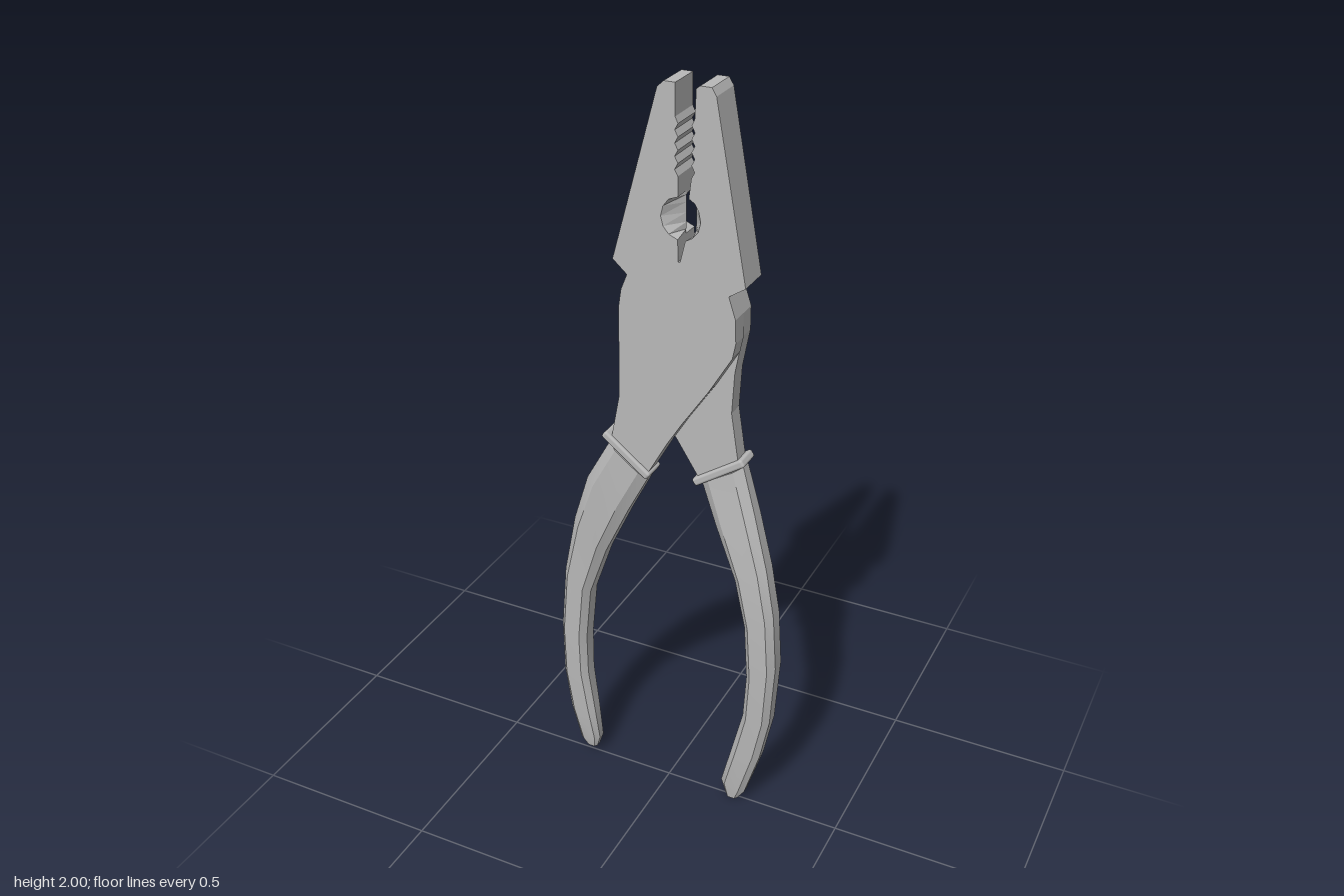
import * as THREE from 'three';
import { toCreasedNormals } from 'three/addons/utils/BufferGeometryUtils.js';
import { RoundedBoxGeometry } from 'three/addons/geometries/RoundedBoxGeometry.js';

const HALF = 0.045; // half thickness of the steel head

// Flat prism from an outline, between z0 and z1
function prism(points, z0, z1, steps = 1) {
  const shape = new THREE.Shape(points.map(([x, y]) => new THREE.Vector2(x, y)));
  const geo = new THREE.ExtrudeGeometry(shape, { depth: z1 - z0, steps, bevelEnabled: false });
  return geo.translate(0, 0, z0);
}

// Jaw with a pipe-grip recess that narrows to a ridge at mid thickness
function jawGeometry(points, ridgeX) {
  const geo = prism(points, -HALF, HALF, 2);
  const p = geo.attributes.position;
  for (let i = 0; i < p.count; i++) {
    const d = Math.hypot(p.getX(i) - 0.05, p.getY(i) - 1.69);
    if (Math.abs(p.getZ(i)) < 0.001 && d < 0.058) p.setX(i, ridgeX);
  }
  geo.computeVertexNormals();
  return geo;
}

// Zigzag gripping teeth from the recess up towards the tip
function teeth(x, depth) {
  const pts = [];
  for (let i = 0; i <= 8; i++) pts.push([x + (i % 2 ? depth : 0), 1.79 + i * 0.015]);
  return pts;
}

// Handle loft: rows of [left x, left y, right x, right y, z centre, half depth], top to bottom
function handleGeometry(rows) {
  const section = [[1, 0.5], [0.6, 1], [-0.6, 1], [-1, 0.5], [-1, -0.5], [-0.6, -1], [0.6, -1], [1, -0.5]];
  const n = section.length, pos = [], index = [];
  for (const [lx, ly, rx, ry, zc, hz] of rows) {
    for (const [u, v] of section) {
      pos.push((lx + rx + u * (rx - lx)) / 2, (ly + ry + u * (ry - ly)) / 2, zc + v * hz);
    }
  }
  for (let i = 0; i < rows.length - 1; i++) {
    for (let j = 0; j < n; j++) {
      const a = i * n + j, b = i * n + (j + 1) % n;
      index.push(a, b, a + n, b, b + n, a + n);
    }
  }
  const last = (rows.length - 1) * n;
  for (let j = 1; j < n - 1; j++) {
    index.push(0, j + 1, j, last, last + j, last + j + 1);
  }
  const geo = new THREE.BufferGeometry();
  geo.setAttribute('position', new THREE.Float32BufferAttribute(pos, 3));
  geo.setIndex(index);
  return toCreasedNormals(geo, 0.45);
}

export function createModel() {
  const group = new THREE.Group();
  const steel = new THREE.MeshStandardMaterial({ color: 0xb8b8b8 });
  steel.name = 'steel grey';
  const add = (name, geo) => {
    const mesh = new THREE.Mesh(geo, steel);
    mesh.name = name;
    group.add(mesh);
    return mesh;
  };

  // Shoulder arc shared by the jaws and the pivot plates
  const arcLeft = [[-0.088, 1.53], [-0.072, 1.55], [-0.046, 1.566], [-0.004, 1.58], [0.044, 1.586]];
  const arcRight = [[0.049, 1.586], [0.09, 1.58], [0.132, 1.566], [0.158, 1.55], [0.172, 1.525]];

  // Jaws
  add('rightJaw', jawGeometry([
    ...arcLeft, [0.044, 1.6], [0.043, 1.64], [0.02, 1.65], [0.006, 1.667], [0, 1.69],
    [0.006, 1.715], [0.02, 1.733], [0.043, 1.742], ...teeth(0.043, -0.008),
    [0.036, 1.925], [0.036, 2], [0.008, 2], [-0.008, 1.985], [-0.125, 1.563],
  ], 0.043));
  add('leftJaw', jawGeometry([
    ...[...arcRight].reverse(), [0.055, 1.61], [0.062, 1.64], [0.08, 1.65], [0.094, 1.667],
    [0.1, 1.69], [0.095, 1.715], [0.085, 1.733], [0.07, 1.742], ...teeth(0.076, 0.008),
    [0.083, 1.925], [0.086, 1.993], [0.095, 2], [0.123, 2], [0.134, 1.982], [0.213, 1.552],
  ], 0.068));

  // Crossing pivot plates
  add('frontPlate', prism([
    ...arcLeft, ...arcRight, [0.19, 1.47], [0.192, 1.41], [0.184, 1.37], [0.125, 1.27],
    [0.055, 1.165], [0.015, 1.1], [-0.04, 1.0], [-0.138, 1.08], [-0.115, 1.2],
    [-0.112, 1.37], [-0.112, 1.44], [-0.104, 1.49],
  ], 0, HALF));
  add('backPlate', prism([
    ...arcLeft, ...arcRight, [0.19, 1.47], [0.19, 1.41], [0.172, 1.31], [0.166, 1.2],
    [0.186, 1.07], [0.08, 1.0], [0.02, 1.095], [-0.045, 1.19], [-0.1, 1.36],
    [-0.108, 1.43], [-0.104, 1.49],
  ], -HALF, 0));

  // Grip collars: centre x, y, z, length, tilt
  for (const [name, x, y, z, length, tilt] of [
    ['rightCollar', -0.096, 1.043, 0.02, 0.157, -0.66],
    ['leftCollar', 0.136, 1.029, -0.024, 0.16, 0.595],
  ]) {
    const collar = add(name, new RoundedBoxGeometry(length, 0.022, 0.068, 2, 0.007));
    collar.position.set(x, y, z);
    collar.rotation.z = tilt;
  }

  // Bowed handle grips
  add('rightHandle', handleGeometry([
    [-0.147, 1.065, -0.041, 0.985, 0.022, 0.029],
    [-0.215, 0.942, -0.099, 0.873, 0.018, 0.034],
    [-0.263, 0.8, -0.173, 0.72, 0.005, 0.037],
    [-0.3, 0.624, -0.226, 0.57, 0, 0.038],
    [-0.316, 0.44, -0.242, 0.413, 0, 0.038],
    [-0.316, 0.28, -0.242, 0.29, 0, 0.034],
    [-0.3, 0.148, -0.226, 0.159, 0, 0.028],
    [-0.274, 0.042, -0.215, 0.058, 0, 0.021],
    [-0.256, 0.022, -0.226, 0.022, 0, 0.015],
  ]));
  add('leftHandle', handleGeometry([
    [0.086, 0.985, 0.197, 1.053, -0.024, 0.029],
    [0.129, 0.873, 0.234, 0.93, -0.018, 0.034],
    [0.192, 0.73, 0.277, 0.783, -0.005, 0.037],
    [0.224, 0.598, 0.303, 0.65, 0, 0.038],
    [0.234, 0.44, 0.314, 0.492, 0, 0.038],
    [0.226, 0.307, 0.303, 0.307, 0, 0.034],
    [0.197, 0.185, 0.277, 0.175, 0, 0.028],
    [0.165, 0.053, 0.234, 0.032, 0, 0.021],
    [0.181, 0, 0.213, 0, 0, 0.015],
  ]));

  return group;
}
